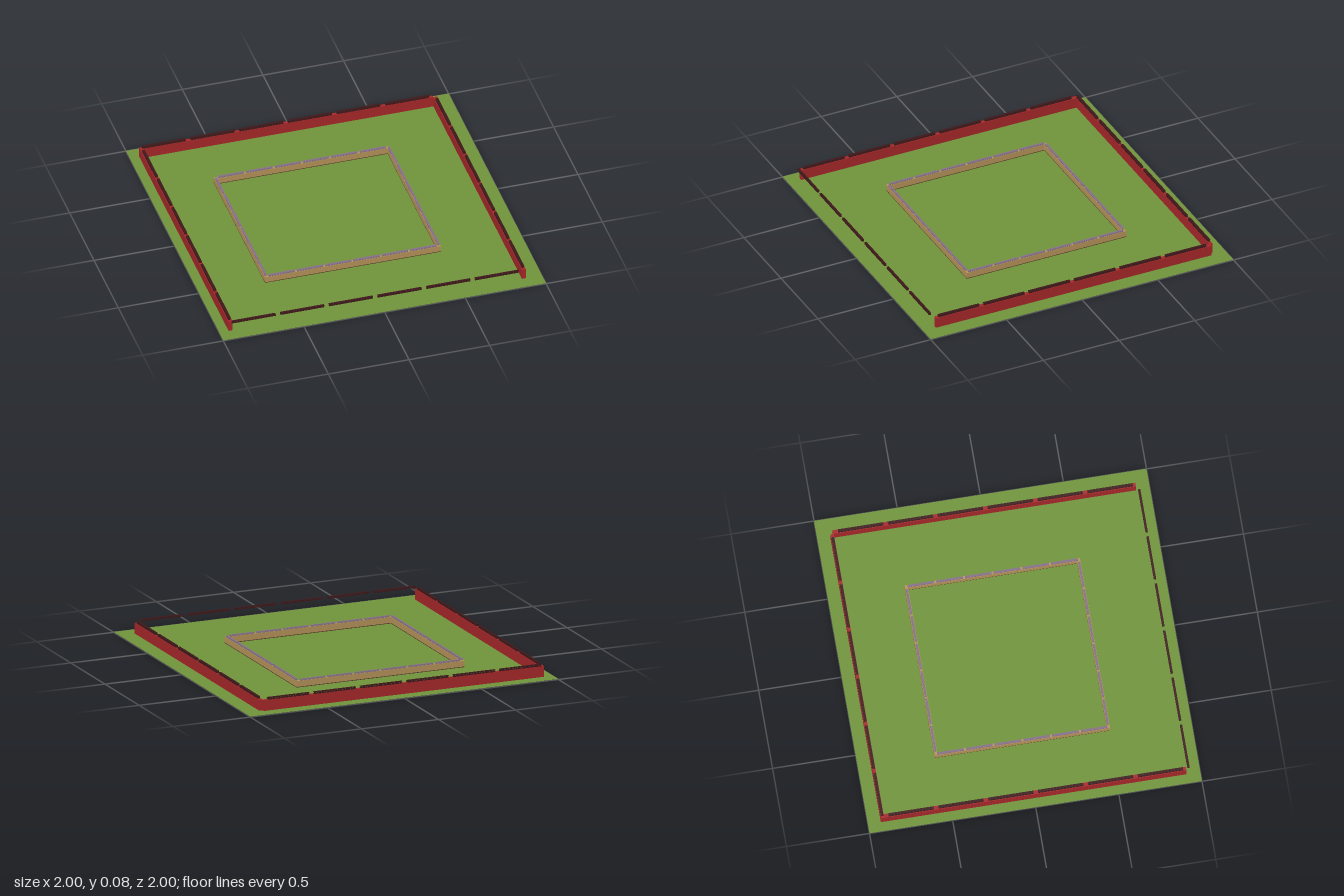
import * as THREE from 'three';

const mat = (name, hex) => {
  const m = new THREE.MeshStandardMaterial({ color: hex });
  m.name = name;
  return m;
};

export function createModel() {
  const root = new THREE.Group();
  root.name = 'walledLawn';
  const grass = mat('grass green', 0x71953a);
  const red = mat('brick red', 0xaa282a);
  const dark = mat('dark maroon iron', 0x3e181a);
  const tan = mat('tan stone', 0xb8955a);
  const mauve = mat('mauve iron', 0x88728a);
  const brown = mat('brown plinth', 0x5a3a2c);

  // box given by its min and max corners
  const box = (name, material, parent, x0, x1, y0, y1, z0, z1) => {
    const mesh = new THREE.Mesh(new THREE.BoxGeometry(x1 - x0, y1 - y0, z1 - z0), material);
    mesh.position.set((x0 + x1) / 2, (y0 + y1) / 2, (z0 + z1) / 2);
    mesh.name = name;
    parent.add(mesh);
  };

  // run of railing sections along local x: two rails joined by small posts
  const railing = (name, material, { count, pitch, length, width, height, posts }) => {
    const run = new THREE.Group();
    run.name = name;
    const w = width / 2;
    for (let i = 0; i < count; i++) {
      const s = i * pitch;
      box('bottomRail', material, run, s, s + length, 0, height * 0.2, -w, w);
      box('topRail', material, run, s, s + length, height * 0.8, height, -w, w);
      for (let p = 0; p < posts; p++) {
        const x = s + (p + 0.5) * length / posts;
        const h = length / posts * 0.2;
        box('post', material, run, x - h, x + h, height * 0.2, height * 0.8, -w, w);
      }
    }
    root.add(run);
    return run;
  };

  // lawn
  const lawn = new THREE.Mesh(new THREE.PlaneGeometry(2, 2).rotateX(-Math.PI / 2), grass);
  grass.side = THREE.DoubleSide;
  lawn.position.y = 0.003;
  lawn.name = 'lawn';
  root.add(lawn);

  // outer walls, open at the front
  box('outerWallRight', red, root, -0.942, -0.918, 0, 0.069, -0.905, 0.916);
  box('outerWallLeft', red, root, 0.876, 0.9, 0, 0.069, -0.905, 0.916);
  box('outerWallBack', red, root, -0.942, 0.876, 0, 0.069, -0.922, -0.902);

  // outer railings, including the free run across the front
  const outer = { count: 6, pitch: 0.3015, length: 0.272, width: 0.016, height: 0.013, posts: 16 };
  railing('backRailing', dark, outer).position.set(-0.928, 0.069, -0.912);
  railing('frontRailing', dark, { ...outer, width: 0.014 }).position.set(-0.928, 0.069, 0.931);
  for (const x of [-0.93, 0.888]) {
    const run = railing('sideRailing', dark, { ...outer, pitch: 0.3 });
    run.rotation.y = -Math.PI / 2;
    run.position.set(x, 0.069, -0.874);
  }

  // inner walls, a closed square on a low plinth
  for (const [part, material, y0, y1] of [['Plinth', brown, 0, 0.007], ['Wall', tan, 0.007, 0.043]]) {
    box('innerBack' + part, material, root, -0.595, 0.495, y0, y1, -0.54, -0.522);
    box('innerFront' + part, material, root, -0.595, 0.495, y0, y1, 0.497, 0.515);
    box('innerRight' + part, material, root, -0.595, -0.577, y0, y1, -0.522, 0.497);
    box('innerLeft' + part, material, root, 0.477, 0.495, y0, y1, -0.522, 0.497);
  }

  // inner railings
  const inner = { count: 6, pitch: 0.1755, length: 0.162, width: 0.013, height: 0.009, posts: 10 };
  for (const z of [-0.531, 0.506]) railing('innerRailing', mauve, inner).position.set(-0.571, 0.043, z);
  for (const x of [-0.586, 0.486]) {
    const run = railing('innerSideRailing', mauve, { ...inner, pitch: 0.173, length: 0.16 });
    run.rotation.y = -Math.PI / 2;
    run.position.set(x, 0.043, -0.524);
  }
  return root;
}
